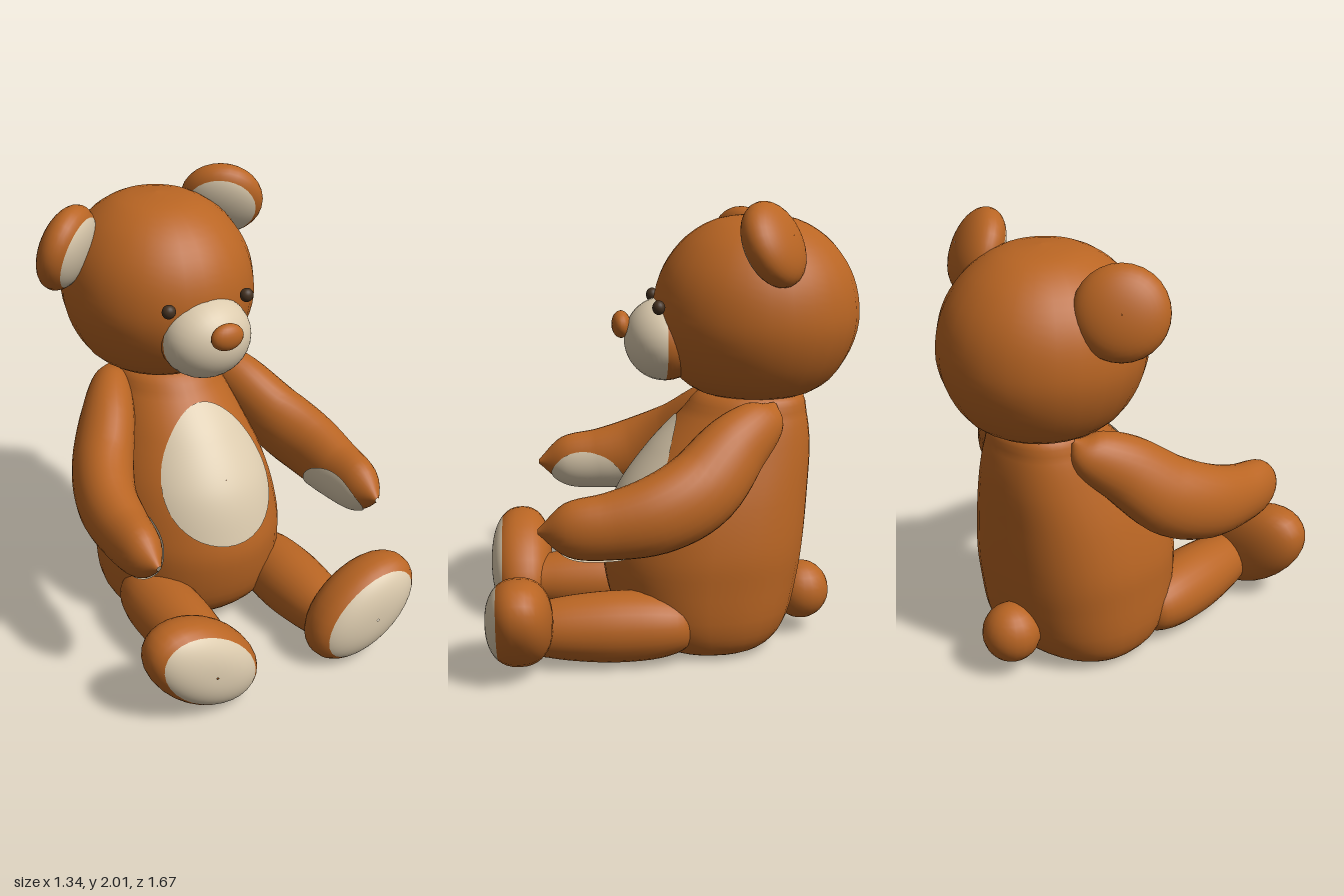
import * as THREE from 'three';
import { ParametricGeometry } from 'three/addons/geometries/ParametricGeometry.js';

const TAU = Math.PI * 2;
const V = (x, y, z) => new THREE.Vector3(x, y, z);
const smooth = (pts) => new THREE.CatmullRomCurve3(pts.map((p) => V(...p)), false, 'catmullrom', 0.5);

export function createModel() {
  const bear = new THREE.Group();
  bear.name = 'teddyBear';

  const mat = (name, color, side = THREE.FrontSide) => {
    const m = new THREE.MeshStandardMaterial({ color, side });
    m.name = name;
    return m;
  };
  const fur = mat('brownFur', 0xb96523);
  const cream = mat('creamPlush', 0xdccbae, THREE.DoubleSide);
  const dark = mat('darkEye', 0x43301f);

  const add = (name, geometry, material, parent = bear) => {
    const mesh = new THREE.Mesh(geometry, material);
    mesh.name = name;
    parent.add(mesh);
    return mesh;
  };
  const ball = (name, material, [x, y, z], [rx, ry, rz]) => {
    const mesh = add(name, new THREE.SphereGeometry(1, 20, 14), material);
    mesh.position.set(x, y, z);
    mesh.scale.set(rx, ry, rz);
    return mesh;
  };
  const lathe = (name, profile) => {
    const curve = new THREE.SplineCurve(profile.map(([r, y]) => new THREE.Vector2(r, y)));
    const pts = curve.getPoints(28).map((p) => new THREE.Vector2(Math.max(p.x, 0), p.y));
    return add(name, new THREE.LatheGeometry(pts, 28), fur);
  };

  // Puffy ellipsoid whose +z cap is cream and whose remainder is fur
  const pad = (name, [rx, ry, depth], cap, power, position, normal, roll = 0) => {
    const group = new THREE.Group();
    group.name = name;
    const part = (t0, t1) => new ParametricGeometry((u, v, p) => {
      const t = t0 + (t1 - t0) * u;
      const r = Math.sin(t) ** power;
      const c = Math.cos(t);
      p.set(rx * r * Math.cos(v * TAU), ry * r * Math.sin(v * TAU),
        depth * Math.sign(c) * Math.abs(c) ** power);
    }, 14, 28);
    add(name + 'Face', part(0.01, cap), cream, group);
    add(name + 'Back', part(cap, Math.PI - 0.01), fur, group);
    group.position.set(...position);
    group.lookAt(V(...position).add(V(...normal)));
    group.rotateZ(roll);
    bear.add(group);
  };

  // Disc laid on a surface: outline(angle, radius) gives the surface parameters
  const patch = (name, surface, outline) => add(name, new ParametricGeometry((u, v, p) => {
    const [a, b] = outline(v * TAU, 0.005 + 0.995 * u);
    surface(a, b, p);
  }, 12, 48), cream);

  // Torso: half-width, back z and front z at each height
  const heights = [0, 0.005, 0.04, 0.15, 0.35, 0.5, 0.7, 0.9, 1.05, 1.15, 1.18];
  const heightCurve = smooth(heights.map((y) => [0, y, 0]));
  const sizeCurve = smooth([
    [0.01, -0.16, -0.14], [0.27, -0.36, 0.06], [0.36, -0.46, 0.16], [0.41, -0.53, 0.26],
    [0.42, -0.575, 0.31], [0.415, -0.595, 0.3], [0.375, -0.61, 0.24], [0.31, -0.62, 0.1],
    [0.255, -0.605, -0.04], [0.2, -0.57, -0.14], [0.03, -0.4, -0.34]]);
  const soft = (v, e) => Math.sign(v) * Math.abs(v) ** e;
  add('torso', new ParametricGeometry((u, v, p) => {
    const s = sizeCurve.getPoint(v);
    const c = Math.cos(u * TAU), n = Math.sin(u * TAU);
    const e = n > 0 ? 0.82 : 1; // flatter back
    p.set(s.x * soft(c, e), heightCurve.getPoint(v).y,
      (s.y + s.z) / 2 - (s.z - s.y) / 2 * soft(n, e));
  }, 36, 40), fur);

  // Belly patch follows the front of the torso
  const torsoFront = (x, y, p) => {
    let lo = 0, hi = 1;
    for (let i = 0; i < 30; i++) {
      const mid = (lo + hi) / 2;
      if (heightCurve.getPoint(mid).y < y) lo = mid; else hi = mid;
    }
    const s = sizeCurve.getPoint(lo);
    p.set(x, y, (s.y + s.z) / 2 + (s.z - s.y) / 2 * Math.sqrt(1 - (x / s.x) ** 2) + 0.008);
  };
  patch('bellyPatch', torsoFront, (a, r) => [
    0.26 * r * Math.cos(a) * (1 - 0.25 * r * Math.sin(a)), 0.755 + 0.285 * r * Math.sin(a)]);

  // Head, muzzle, nose
  const head = lathe('head', [[0, 1.13], [0.19, 1.135], [0.31, 1.2], [0.385, 1.31], [0.425, 1.43],
    [0.428, 1.54], [0.405, 1.65], [0.355, 1.75], [0.275, 1.84], [0.16, 1.905], [0, 1.925]]);
  head.scale.z = 1.065;
  head.position.set(-0.013, 0, -0.375);
  pad('muzzle', [0.208, 0.185, 0.18], Math.PI / 2, 1, [0, 1.385, 0.03], [0, 0, 1]);
  ball('nose', fur, [-0.004, 1.45, 0.222], [0.077, 0.06, 0.042]);
  ball('rightEye', dark, [-0.2, 1.55, 0.07], [0.031, 0.031, 0.028]);
  ball('leftEye', dark, [0.185, 1.55, 0.07], [0.031, 0.031, 0.028]);

  // Ears, set at different angles
  pad('leftEar', [0.188, 0.188, 0.1], 0.98, 0.95, [0.335, 1.83, -0.395], [-0.5, -0.42, 0.74]);
  pad('rightEar', [0.195, 0.195, 0.1], 0.98, 0.95, [-0.445, 1.735, -0.395], [0.6, -0.28, 0.72]);

  // Limbs
  const armPath = smooth([[0.22, 1.13, -0.43], [0.26, 1.07, -0.38], [0.35, 0.97, -0.24],
    [0.46, 0.82, -0.08], [0.53, 0.74, 0.1], [0.55, 0.7, 0.3], [0.555, 0.69, 0.48], [0.55, 0.685, 0.6]]);
  const armSize = smooth([[0.01, 0.01, 0], [0.08, 0.1, 0], [0.12, 0.15, 0], [0.135, 0.175, 0],
    [0.13, 0.168, 0], [0.115, 0.143, 0], [0.085, 0.115, 0], [0.01, 0.01, 0]]);
  for (const [side, s] of [['left', 1], ['right', -1]]) {
    const arm = (off) => (angle, t, p) => {
      const tangent = armPath.getTangent(t);
      const across = V(1, 0, 0).addScaledVector(tangent, -tangent.x).normalize();
      const up = tangent.clone().cross(across);
      const size = armSize.getPoint(t);
      p.copy(armPath.getPoint(t))
        .addScaledVector(across, (size.x + off) * Math.cos(angle))
        .addScaledVector(up, (size.y + off) * Math.sin(angle) * s);
      p.x *= s;
    };
    const skin = arm(0);
    add(side + 'Arm', new ParametricGeometry((u, v, p) => skin(u * TAU, v, p), 28, 36), fur);
    patch(side + 'Palm', arm(0.007), (a, r) => [
      s * (3.85 + 1.15 * r * Math.cos(a)), 0.785 + 0.145 * r * Math.sin(a)]);

    // Leg lying forward along +z
    const leg = lathe(side + 'Leg', [[0, -0.07], [0.1, -0.04], [0.145, 0.08], [0.157, 0.26],
      [0.148, 0.42], [0.128, 0.56], [0.1, 0.65], [0, 0.67]]);
    leg.rotation.x = Math.PI / 2;
    leg.position.set(0.31 * s, 0.163, 0);

    pad(side + 'Foot', [0.292, 0.184, 0.146], 0.95, 0.85, [0.41 * s, 0.235, 0.69], [0, 0, 1], 0.6 * s);
  }

  // Tail
  ball('tail', fur, [0, 0.195, -0.6], [0.13, 0.135, 0.13]);

  return bear;
}
